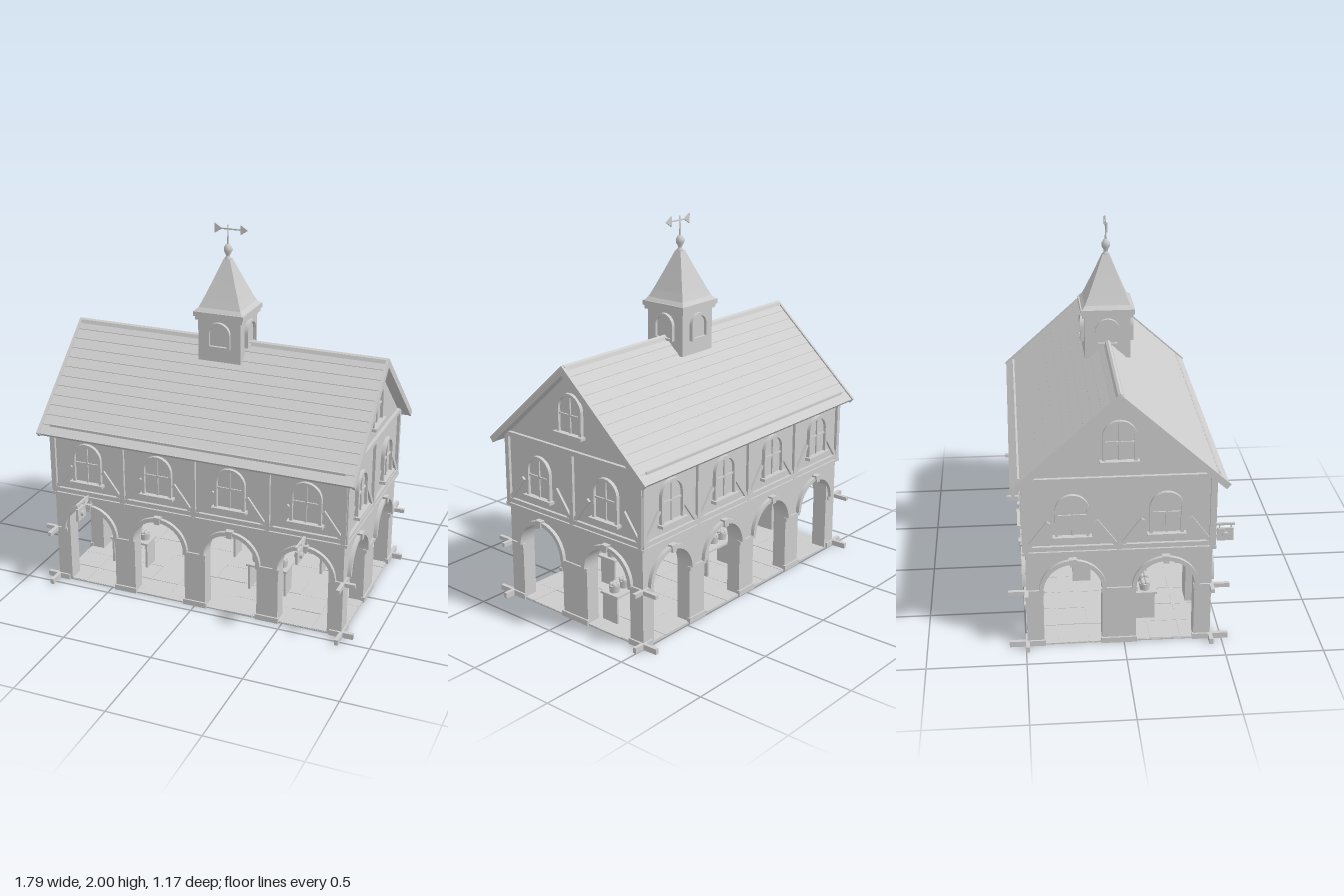
import * as THREE from 'three';

const stone = new THREE.MeshStandardMaterial({ color: 0xcccccc });
stone.name = 'paleGrey';

const HX = 0.83, HZ = 0.4675, SPRING = 0.32, R = 0.148, FLOOR = 0.53;

function add(parent, name, geo, x = 0, y = 0, z = 0) {
  const m = new THREE.Mesh(geo, stone);
  m.name = name;
  m.position.set(x, y, z);
  parent.add(m);
  return m;
}
const box = (parent, name, w, h, d, x, y, z) =>
  add(parent, name, new THREE.BoxGeometry(w, h, d), x, y, z);
const extrude = (shape, depth) =>
  new THREE.ExtrudeGeometry(shape, { depth, bevelEnabled: false, curveSegments: 20 });
function poly(points) {
  return new THREE.Shape(points.map(p => new THREE.Vector2(p[0], p[1])));
}
function faceted(geo) {
  const g = geo.toNonIndexed();
  g.computeVertexNormals();
  return g;
}

// Round-headed outline: half width r, from y0 up to the springing line ys
function archPath(P, r, y0, ys) {
  const p = new P();
  p.moveTo(-r, y0);
  p.lineTo(r, y0);
  p.lineTo(r, ys);
  p.absarc(0, ys, r, 0, Math.PI, false);
  p.lineTo(-r, y0);
  return p;
}

// Arched window on a wall whose outer face is at local z = 0
function arcWindow(parent, x, y0, ys, r, sill, z = 0) {
  const g = new THREE.Group();
  g.name = 'archedWindow';
  g.position.set(x, 0, z);
  const frame = archPath(THREE.Shape, r, y0, ys);
  frame.holes.push(archPath(THREE.Path, r - 0.015, y0 + 0.012, ys));
  add(g, 'windowFrame', extrude(frame, 0.02));
  add(g, 'windowPane', extrude(archPath(THREE.Shape, r - 0.015, y0 + 0.012, ys), 0.004));
  if (sill) {
    const top = ys + r - 0.015;
    box(g, 'mullion', 0.01, top - y0, 0.012, 0, (top + y0) / 2, 0.006);
    box(g, 'transom', 2 * r - 0.02, 0.01, 0.012, 0, ys - 0.03, 0.006);
    box(g, 'windowSill', 2 * r + 0.025, 0.016, 0.035, 0, y0 + 0.008, 0.0175);
  }
  parent.add(g);
}

// One wall: arcade below, timber framing above; outer face at local z = 0
function facade(name, n, pitch) {
  const g = new THREE.Group();
  g.name = name;
  const L = n * pitch / 2, pier = pitch - 2 * R;
  const wall = new THREE.Shape();
  wall.moveTo(-L, 0);
  for (let i = 0; i < n; i++) {
    const cx = -L + (i + 0.5) * pitch;
    wall.lineTo(cx - R, 0);
    wall.lineTo(cx - R, SPRING);
    wall.absarc(cx, SPRING, R, Math.PI, 0, true);
    wall.lineTo(cx + R, 0);
  }
  wall.lineTo(L, 0);
  wall.lineTo(L, FLOOR);
  wall.lineTo(-L, FLOOR);
  add(g, 'arcadeWall', extrude(wall, 0.08), 0, 0, -0.08);

  // Plinths, imposts and posts at every bay boundary
  for (let i = 0; i <= n; i++) {
    const x = -L + i * pitch;
    box(g, 'plinth', pier + 0.012, 0.03, 0.02, x, 0.015, 0);
    box(g, 'impost', pier + 0.012, 0.022, 0.02, x, 0.31, 0);
    const shift = i === 0 ? 0.004 : i === n ? -0.004 : 0;
    box(g, 'timberPost', 0.026, 0.39, 0.018, x + shift, 0.735, 0.007);
  }
  box(g, 'stringCourse', 2 * L + 0.03, 0.016, 0.03, 0, 0.533, 0.003);
  box(g, 'bottomRail', 2 * L + 0.016, 0.024, 0.018, 0, 0.558, 0.007);
  box(g, 'topRail', 2 * L + 0.01, 0.025, 0.02, 0, 0.928, 0.008);

  for (let i = 0; i < n; i++) {
    const cx = -L + (i + 0.5) * pitch;
    // Arch moulding and keystone
    const ring = new THREE.Shape();
    ring.absarc(0, 0, R + 0.022, 0, Math.PI, false);
    ring.absarc(0, 0, R, Math.PI, 0, true);
    add(g, 'archMoulding', extrude(ring, 0.02), cx, SPRING, 0);
    add(g, 'keystone', extrude(poly([[-0.014, 0.46], [0.014, 0.46], [0.02, 0.5], [-0.02, 0.5]]), 0.03), cx, 0, 0);
    arcWindow(g, cx, 0.612, 0.765, 0.085, true);
    // Diagonal braces in both lower corners
    for (const s of [-1, 1]) {
      const e = pitch / 2 - 0.012;
      const b = box(g, 'brace', 0.022, 0.175, 0.014, cx + s * (e - 0.052), 0.632, 0.006);
      b.rotation.z = s * 0.64;
    }
  }
  return g;
}

function table(x, z) {
  const g = new THREE.Group();
  g.name = 'marketTable';
  g.position.set(x, 0, z);
  box(g, 'tableTop', 0.235, 0.012, 0.12, 0, 0.16, 0);
  for (const s of [-1, 1]) box(g, 'tableEnd', 0.012, 0.155, 0.1, s * 0.104, 0.0775, 0);
  for (let i = -1; i <= 1; i++) {
    add(g, 'basket', new THREE.CylinderGeometry(0.03, 0.026, 0.038, 12), i * 0.074, 0.185, 0);
    for (let k = 0; k < 4; k++) {
      const a = k * Math.PI / 2 + 0.78;
      add(g, 'produce', new THREE.SphereGeometry(0.014, 8, 6), i * 0.074 + 0.015 * Math.cos(a), 0.207, 0.015 * Math.sin(a));
    }
  }
  return g;
}

// Hanging board on a bracket, projecting from the front
function hangingSign(x) {
  const g = new THREE.Group();
  g.name = 'hangingSign';
  g.position.set(x, 0, HZ);
  box(g, 'bracketArm', 0.012, 0.012, 0.15, 0, 0.545, 0.073);
  box(g, 'bracketStrut', 0.01, 0.01, 0.1, 0, 0.518, 0.04).rotation.x = -0.5 + 1.0;
  box(g, 'wallPlate', 0.022, 0.07, 0.01, 0, 0.525, 0.005);
  box(g, 'signBoard', 0.014, 0.07, 0.085, 0, 0.487, 0.1);
  for (const s of [-1, 1]) box(g, 'hanger', 0.005, 0.03, 0.005, 0, 0.53, 0.1 + s * 0.03);
  add(g, 'signBoss', new THREE.CylinderGeometry(0.016, 0.016, 0.042, 16), 0, 0.487, 0.1).rotation.z = Math.PI / 2;
  return g;
}

// Extrude a (z, y) section along x between -half and +half
function alongX(points, half) {
  const g = extrude(poly(points), 2 * half);
  g.translate(0, 0, -half);
  g.rotateY(Math.PI / 2);
  return g;
}

function roof() {
  const g = new THREE.Group();
  g.name = 'roof';
  const slope = 0.9, n = 12, w = 0.535, top = 1.378;
  // Slope with shallow stepped tile courses
  const side = [];
  for (let i = 0; i < n; i++) {
    const a = w * i / n, b = w * (i + 1) / n;
    side.push([a, top - slope * a - (i ? 0.003 : 0)], [b, top - slope * b]);
  }
  const under = [[0.515, 0.878], [0, 1.342]];
  const right = [...side, ...under];
  const full = [...right, ...right.slice(1, -1).reverse().map(p => [-p[0], p[1]])];
  add(g, 'tiledRoof', alongX(full, 0.876));
  const barge = [[0, 1.387], [0.542, 0.899], [0.52, 0.874], [0, 1.338], [-0.52, 0.874], [-0.542, 0.899]];
  for (const s of [-1, 1]) add(g, 'bargeBoard', alongX(barge, 0.0075), s * 0.8825, 0, 0);
  add(g, 'ridgeCap', alongX([[-0.02, 1.362], [0.02, 1.362], [0.012, 1.381], [0, 1.388], [-0.012, 1.381]], 0.876));
  for (const s of [-1, 1]) box(g, 'eaveStrip', 1.66, 0.02, 0.01, 0, 0.932, s * 0.491);
  return g;
}

function turret() {
  const g = new THREE.Group();
  g.name = 'bellTurret';
  box(g, 'turretBody', 0.24, 0.235, 0.24, 0, 1.4025, 0);
  for (let i = 0; i < 4; i++) {
    const side = new THREE.Group();
    side.name = 'turretSide';
    side.rotation.y = i * Math.PI / 2;
    arcWindow(side, 0, 1.362, 1.44, 0.065, false, 0.12);
    g.add(side);
  }
  box(g, 'cornice', 0.265, 0.02, 0.265, 0, 1.52, 0);
  box(g, 'corniceTop', 0.282, 0.026, 0.282, 0, 1.543, 0);
  // Square spire with flared foot
  const prof = [[0.136, 1.554], [0.118, 1.575], [0.1, 1.615], [0.06, 1.712], [0.018, 1.818], [0, 1.818]];
  const spire = new THREE.LatheGeometry(prof.map(p => new THREE.Vector2(p[0] * Math.SQRT2, p[1])), 4);
  spire.rotateY(Math.PI / 4);
  add(g, 'spire', faceted(spire));
  // Finial and weather vane
  const knob = [[0, 1.81], [0.019, 1.81], [0.019, 1.822], [0.011, 1.83], [0.011, 1.84], [0.022, 1.86], [0.022, 1.878], [0.012, 1.895], [0, 1.9]];
  add(g, 'finial', new THREE.LatheGeometry(knob.map(p => new THREE.Vector2(p[0], p[1])), 16));
  add(g, 'vaneRod', new THREE.CylinderGeometry(0.002, 0.006, 0.11, 8), 0, 1.945, 0);
  box(g, 'vaneBar', 0.13, 0.007, 0.007, 0.015, 1.977, 0);
  for (const [name, x] of [['vaneTail', -0.073], ['vanePoint', 0.07]])
    add(g, name, extrude(poly([[0, -0.027], [0.042, 0], [0, 0.027]]), 0.008), x, 1.977, -0.004);
  return g;
}

export function createModel() {
  const model = new THREE.Group();
  model.name = 'marketHall';
  const hall = new THREE.Group();
  hall.name = 'hall';
  hall.position.z = -0.025;
  model.add(hall);

  // Paving with slightly uneven flagstones
  box(hall, 'paving', 2 * HX, 0.007, 2 * HZ, 0, 0.0035, 0);
  let seed = 7;
  const rand = () => (seed = (seed * 16807) % 2147483647) / 2147483647;
  for (let i = 0; i < 10; i++) for (let j = 0; j < 6; j++) {
    const h = 0.007 + 0.004 * rand();
    box(hall, 'flagstone', 0.156 + 0.012 * rand(), h, 0.148 + 0.01 * rand(),
      -HX + (i + 0.5) * 0.166, h / 2, -HZ + (j + 0.5) * 0.156);
  }

  // Upper storey with its gables
  add(hall, 'upperStorey', alongX(
    [[-HZ, FLOOR - 0.01], [HZ, FLOOR - 0.01], [HZ, 0.93], [0, 1.35], [-HZ, 0.93]], HX));

  // Four walls
  for (const [name, n, p, x, z, turn] of [
    ['frontWall', 4, 0.415, 0, HZ, 0], ['backWall', 4, 0.415, 0, -HZ, Math.PI],
    ['leftWall', 2, HZ, HX, 0, Math.PI / 2], ['rightWall', 2, HZ, -HX, 0, -Math.PI / 2]]) {
    const w = facade(name, n, p);
    w.position.set(x, 0, z);
    w.rotation.y = turn;
    if (n === 2) arcWindow(w, 0, 1.012, 1.15, 0.085, true);
    hall.add(w);
  }
  hall.add(roof(), turret());
  for (const x of [-0.6225, 0.6225]) hall.add(hangingSign(x));
  for (const [x, z] of [[-0.52, 0.13], [-0.105, -0.18], [0.315, 0.13], [0.627, -0.18]]) model.add(table(x, z));
  return model;
}
